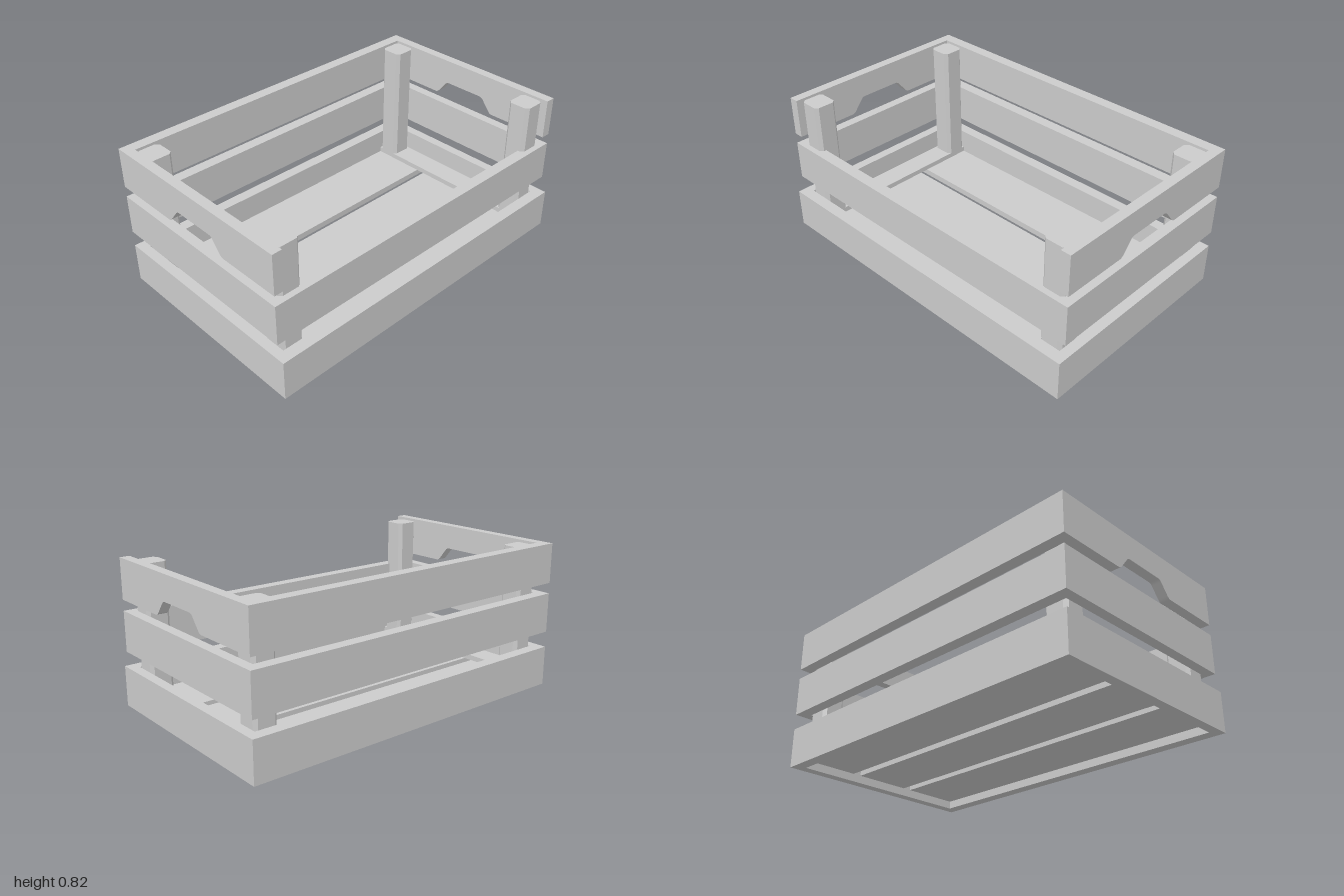
import * as THREE from 'three';

const grey = new THREE.MeshStandardMaterial({ color: 0xcccccc });
grey.name = 'plain grey';

const WALL_X = 0.945; // inner face of the side walls
const BACK = -0.61;
const BACK_IN = -0.545;

export function createModel() {
  const crate = new THREE.Group();
  crate.name = 'slattedCrate';

  const add = (name, geometry) => {
    const mesh = new THREE.Mesh(geometry, grey);
    mesh.name = name;
    crate.add(mesh);
    return mesh;
  };

  // Box given by its limits on each axis
  const slab = (name, x0, x1, y0, y1, z0, z1) => {
    const g = new THREE.BoxGeometry(x1 - x0, y1 - y0, z1 - z0);
    g.translate((x0 + x1) / 2, (y0 + y1) / 2, (z0 + z1) / 2);
    return add(name, g);
  };

  // Closed band of planks, extruded upwards
  const band = (name, y0, y1, frontIn, front) => {
    const rect = (Type, x, za, zb) => {
      const s = new Type();
      s.moveTo(-x, -zb);
      s.lineTo(x, -zb);
      s.lineTo(x, -za);
      s.lineTo(-x, -za);
      s.closePath();
      return s;
    };
    const outline = rect(THREE.Shape, 1, BACK, front);
    outline.holes.push(rect(THREE.Path, WALL_X, BACK_IN, frontIn));
    const g = new THREE.ExtrudeGeometry(outline, { depth: y1 - y0, bevelEnabled: false });
    g.rotateX(-Math.PI / 2);
    g.translate(0, y0, 0);
    return add(name, g);
  };

  band('bottomBand', 0, 0.225, 0.545, 0.61);
  band('middleBand', 0.315, 0.54, 0.51, 0.575);

  // Top row: back plank and two side planks with hand cut-outs, open in front
  slab('topBackPlank', -1, 1, 0.6, 0.825, BACK, BACK_IN);
  const side = new THREE.Shape();
  side.moveTo(BACK_IN, 0.6);
  side.lineTo(-0.215, 0.6);
  side.quadraticCurveTo(-0.2, 0.6, -0.188, 0.615);
  side.lineTo(-0.142, 0.672);
  side.quadraticCurveTo(-0.132, 0.685, -0.115, 0.685);
  side.lineTo(0.115, 0.685);
  side.quadraticCurveTo(0.132, 0.685, 0.142, 0.672);
  side.lineTo(0.188, 0.615);
  side.quadraticCurveTo(0.2, 0.6, 0.215, 0.6);
  side.lineTo(0.575, 0.6);
  side.lineTo(0.575, 0.825);
  side.lineTo(BACK_IN, 0.825);
  side.closePath();
  for (const [name, x] of [['topLeftPlank', 1], ['topRightPlank', -WALL_X]]) {
    const g = new THREE.ExtrudeGeometry(side, { depth: 1 - WALL_X, bevelEnabled: false, curveSegments: 5 });
    g.rotateY(-Math.PI / 2);
    g.translate(x, 0, 0);
    add(name, g);
  }

  // Floor boards with gaps between them
  for (const [z0, z1] of [[BACK_IN, -0.22], [-0.17, 0.16], [0.21, 0.545]]) {
    slab('floorBoard', -WALL_X, WALL_X, 0.045, 0.08, z0, z1);
  }

  // Corner posts with chamfered edges, standing on cross battens
  const w = 0.065, c = 0.047;
  const post = new THREE.Shape([
    [-c, -w], [c, -w], [w, -c], [w, c], [c, w], [-c, w], [-w, c], [-w, -c],
  ].map(([x, y]) => new THREE.Vector2(x, y)));
  for (const s of [-1, 1]) {
    slab('floorBatten', s * 0.88 - w, s * 0.88 + w, 0.08, 0.11, BACK_IN, 0.545);
    for (const z of [-0.48, 0.477]) {
      const g = new THREE.ExtrudeGeometry(post, { depth: 0.7, bevelEnabled: false });
      g.rotateX(-Math.PI / 2);
      g.translate(s * 0.88, 0.11, z);
      add('cornerPost', g);
    }
  }

  return crate;
}
